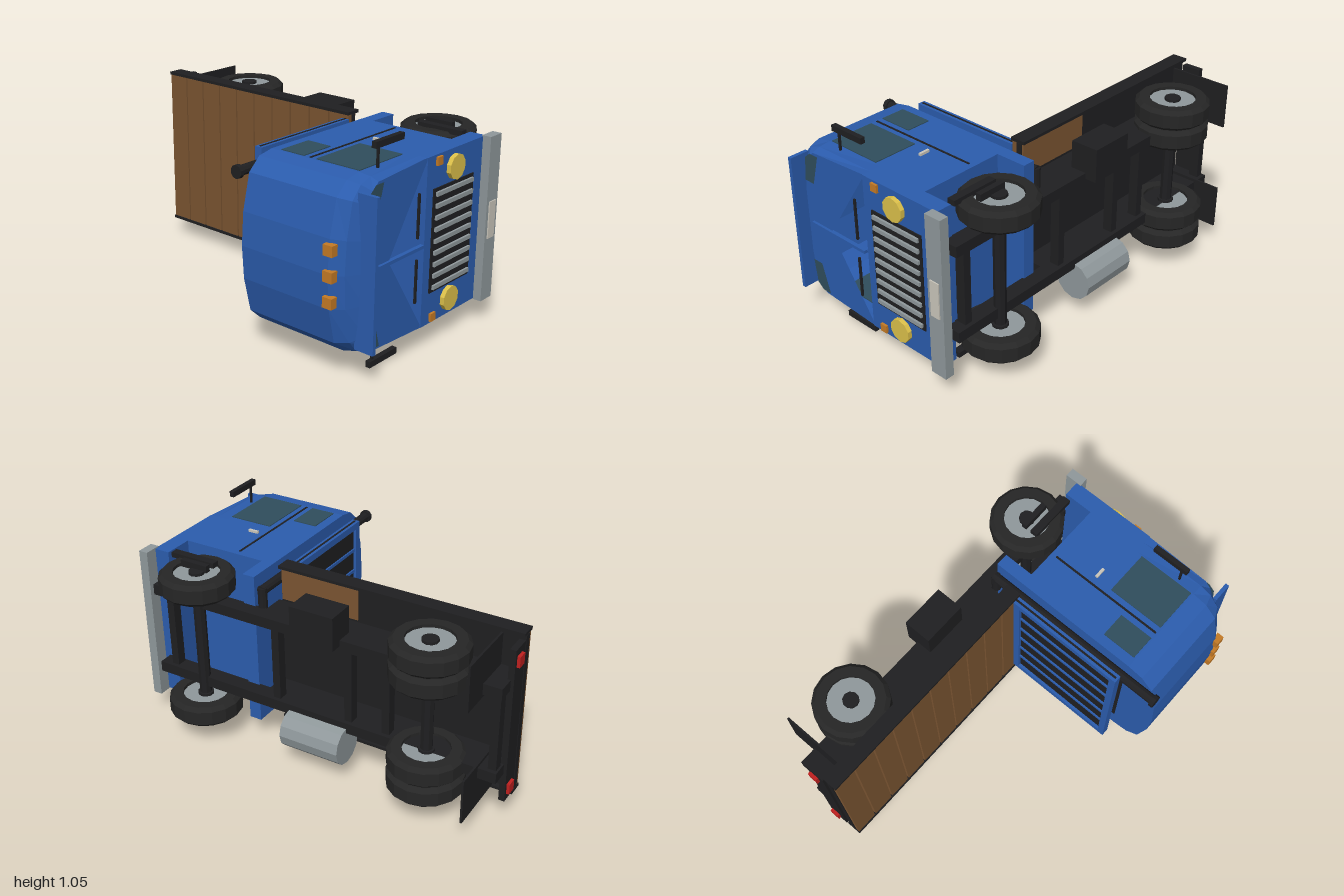
import * as THREE from 'three';

const mat = (color) => new THREE.MeshStandardMaterial({ color, flatShading: true, side: THREE.DoubleSide });
const BLUE = mat(0x2b5cad), BLACK = mat(0x1f1f21), TYRE = mat(0x262626), WOOD = mat(0x7a5431), GREY = mat(0x8f989b),
  GLASS = mat(0x2f4d5c), AMBER = mat(0xc47a26), YELLOW = mat(0xdcc04a), RED = mat(0xc0201f), PLATE = mat(0xcac6bb);

export function createModel() {
  const model = new THREE.Group();
  model.name = 'truck';
  // Truck frame: x forward, y up, z across; the whole truck lies on its side
  const truck = new THREE.Group();
  truck.name = 'truckOnItsSide';
  truck.rotation.x = Math.PI / 2;
  truck.position.y = 0.525;
  model.add(truck);

  const add = (name, geo, m, x = 0, y = 0, z = 0) => {
    const mesh = new THREE.Mesh(geo, m);
    mesh.name = name;
    mesh.position.set(x, y, z);
    truck.add(mesh);
    return mesh;
  };
  // Box given by its extents along each axis
  const box = (name, m, x0, x1, y0, y1, z0, z1) =>
    add(name, new THREE.BoxGeometry(x1 - x0, y1 - y0, z1 - z0), m, (x0 + x1) / 2, (y0 + y1) / 2, (z0 + z1) / 2);
  const pair = (name, m, x0, x1, y0, y1, z0, z1) => {
    box(name, m, x0, x1, y0, y1, z0, z1);
    box(name, m, x0, x1, y0, y1, -z1, -z0);
  };
  const cyl = (name, m, axis, r, len, x, y, z, sides = 12) => {
    const g = new THREE.CylinderGeometry(r, r, len, sides);
    if (axis === 'x') g.rotateZ(Math.PI / 2);
    if (axis === 'z') g.rotateX(Math.PI / 2);
    return add(name, g, m, x, y, z);
  };

  // Chassis
  pair('frameRail', BLACK, -0.97, 0.9, -0.46, -0.38, 0.195, 0.25);
  pair('subframeRail', BLACK, -0.97, 0.28, -0.38, -0.275, 0.195, 0.25);
  for (const x of [-0.94, -0.4, -0.2, 0.2, 0.82])
    box('crossMember', BLACK, x - 0.02, x + 0.02, -0.44, -0.39, -0.2, 0.2);
  for (const x of [-0.62, 0.63]) cyl('axle', BLACK, 'z', 0.03, 0.7, x, -0.45, 0, 8);
  box('tailBeam', BLACK, -0.985, -0.955, -0.375, -0.275, -0.4, 0.4);
  pair('tailLamp', RED, -1, -0.98, -0.36, -0.31, 0.31, 0.365);
  pair('mudflap', BLACK, -0.88, -0.87, -0.6, -0.275, 0.18, 0.41);
  cyl('fuelTank', GREY, 'x', 0.1, 0.32, -0.04, -0.45, 0.325, 12);
  box('batteryBox', BLACK, -0.17, 0.06, -0.52, -0.375, -0.39, -0.22);

  // Wheels
  const wheel = (x, side, z0, z1) => {
    const w = z1 - z0, zc = side * (z0 + z1) / 2;
    const profile = [[0.115, -w / 2], [0.165, -w / 2], [0.185, -w * 0.32], [0.185, w * 0.32], [0.165, w / 2],
      [0.115, w / 2], [0.115, -w / 2]].map(([r, y]) => new THREE.Vector2(r, y));
    const tyre = new THREE.LatheGeometry(profile, 16);
    tyre.rotateX(Math.PI / 2);
    add('tyre', tyre, TYRE, x, -0.45, zc);
    cyl('rim', GREY, 'z', 0.118, w * 0.7, x, -0.45, zc, 16);
    cyl('hub', BLACK, 'z', 0.04, w * 0.95, x, -0.45, zc, 10);
  };
  for (const s of [-1, 1]) {
    wheel(0.63, s, 0.285, 0.395);
    wheel(-0.62, s, 0.18, 0.285);
    wheel(-0.62, s, 0.29, 0.395);
  }

  // Flatbed
  box('deckBase', BLACK, -0.98, 0.275, -0.255, -0.22, -0.41, 0.41);
  pair('deckUnderside', WOOD, -0.15, 0.27, -0.262, -0.254, 0.25, 0.41);
  const planks = 10, pitch = 1.26 / planks;
  for (let i = 0; i < planks; i++) {
    const x = -0.98 + i * pitch;
    box('plank', WOOD, x + 0.004, x + pitch - 0.004, -0.225, -0.2, -0.415, 0.415);
  }
  pair('deckSideRail', BLACK, -0.98, 0.28, -0.275, -0.195, 0.415, 0.43);

  // Headboard
  pair('headboardPost', BLUE, 0.24, 0.28, -0.2, 0.42, 0.36, 0.395);
  pair('headboardGroove', BLACK, 0.255, 0.265, -0.2, 0.41, 0.36, 0.397);
  for (const y of [-0.2, 0.385]) box('headboardRail', BLUE, 0.24, 0.28, y, y + 0.035, -0.36, 0.36);
  box('headboardPanel', BLACK, 0.256, 0.264, -0.17, 0.39, -0.36, 0.36);
  for (let i = -2; i <= 2; i++) box('headboardBar', BLUE, 0.248, 0.272, -0.17, 0.39, i * 0.12 - 0.008, i * 0.12 + 0.008);

  // Exhaust stack
  cyl('exhaustStack', BLACK, 'y', 0.024, 0.98, 0.308, 0.11, -0.335, 10);
  cyl('exhaustCap', BLACK, 'y', 0.032, 0.022, 0.308, 0.604, -0.335, 10);
  cyl('exhaustElbow', BLACK, 'z', 0.024, 0.12, 0.308, -0.37, -0.29, 10);

  // Lower cab, its side profile open over the front wheels
  const side = new THREE.Shape([[0.34, -0.39], [0.405, -0.39], [0.405, -0.23], [0.85, -0.23], [0.85, -0.385],
    [0.935, -0.385], [0.935, 0.075], [0.34, 0.075]].map((p) => new THREE.Vector2(...p)));
  const lower = new THREE.ExtrudeGeometry(side, { depth: 0.81, bevelEnabled: false });
  add('lowerCab', lower, BLUE, 0, 0, -0.405);

  // Upper cab shell, lofted from arched sections
  const half = [[0.405, 0.075], [0.405, 0.42], [0.39, 0.5], [0.33, 0.565], [0.16, 0.605]];
  const arch = [...half, [0, 0.616], ...half.slice().reverse().map(([z, y]) => [-z, y])];
  const section = (sy, sz) => arch.map(([z, y]) => y > 0.42 ? [z * sz, 0.42 + (y - 0.42) * sy] : [z * (y > 0.4 ? (1 + sz) / 2 : 1), y]);
  const stations = [[0.34, 1, 1], [0.83, 1, 1], [0.89, 0.8, 0.97], [0.932, 0.42, 0.9]];
  const pos = [], index = [], n = arch.length;
  stations.forEach(([x, sy, sz], i) => {
    section(sy, sz).forEach(([z, y]) => pos.push(x, y, z));
    for (let j = 0; i && j < n - 1; j++) {
      const a = (i - 1) * n + j, b = i * n + j;
      index.push(a, a + 1, b, b, a + 1, b + 1);
    }
  });
  const shell = new THREE.BufferGeometry();
  shell.setAttribute('position', new THREE.Float32BufferAttribute(pos, 3));
  shell.setIndex(index);
  shell.computeVertexNormals();
  add('cabShell', shell, BLUE);
  const capShape = (pts) => new THREE.Shape(pts.map((p) => new THREE.Vector2(...p)));
  const back = new THREE.ShapeGeometry(capShape(arch));
  add('cabBack', back.rotateY(Math.PI / 2), BLUE, 0.34);
  // Front with a triangular opening cut up from its lower edge
  const frontPts = [...section(0.42, 0.9), [-0.39, 0.075], [0, 0.333], [0.39, 0.075]];
  const front = new THREE.ShapeGeometry(capShape(frontPts));
  add('cabFront', front.rotateY(Math.PI / 2), BLUE, 0.932);
  box('cabInnerBack', BLACK, 0.35, 0.36, 0.08, 0.5, -0.39, 0.39);
  box('cabInnerBar', BLUE, 0.362, 0.375, 0.212, 0.228, -0.39, 0.39);
  box('rearWindow', BLACK, 0.335, 0.345, 0.12, 0.41, -0.28, 0.28);
  box('windscreenPillar', BLUE, 0.925, 0.945, 0.09, 0.46, -0.008, 0.008);
  pair('wiper', BLACK, 0.935, 0.945, 0.13, 0.14, 0.05, 0.26);
  for (const s of [-1, 1]) {
    const corner = new THREE.ShapeGeometry(capShape([[s * 0.22, 0.49], [s * 0.22, 0.43], [s * 0.375, 0.385], [s * 0.375, 0.44], [s * 0.345, 0.475]]));
    add('cornerGlass', corner.rotateY(Math.PI / 2), GLASS, 0.935);
  }
  box('sunVisor', BLUE, 0.9, 1, 0.495, 0.515, -0.355, 0.355);

  // Doors, side windows, steps and mirrors
  pair('doorWindow', GLASS, 0.59, 0.825, 0.11, 0.41, 0.4, 0.409);
  pair('rearSideWindow', GLASS, 0.39, 0.52, 0.23, 0.41, 0.4, 0.409);
  pair('doorGap', BLACK, 0.55, 0.56, -0.2, 0.41, 0.4, 0.408);
  pair('doorHandle', PLATE, 0.595, 0.65, 0.008, 0.022, 0.4, 0.417);
  pair('upperStep', BLACK, 0.58, 0.83, -0.385, -0.345, 0.385, 0.412);
  pair('lowerStep', BLACK, 0.58, 0.73, -0.44, -0.412, 0.385, 0.42);
  pair('mirrorArm', BLACK, 0.845, 0.855, 0.315, 0.325, 0.4, 0.5);
  pair('mirror', BLACK, 0.84, 0.865, 0.155, 0.352, 0.495, 0.525);

  // Nose
  box('grille', BLACK, 0.93, 0.941, -0.29, 0.025, -0.25, 0.25);
  for (let i = -4; i <= 4; i++) box('grilleSlat', GREY, 0.935, 0.952, -0.277, 0.01, i * 0.056 - 0.01, i * 0.056 + 0.01);
  for (const s of [-1, 1]) cyl('headlamp', YELLOW, 'x', 0.06, 0.03, 0.942, -0.132, s * 0.32, 10);
  pair('indicator', AMBER, 0.93, 0.947, -0.027, 0.012, 0.355, 0.395);
  box('bumper', GREY, 0.93, 0.978, -0.45, -0.36, -0.41, 0.41);
  box('plate', PLATE, 0.975, 0.984, -0.43, -0.378, -0.092, 0.092);

  // Roof lamps
  for (const z of [-0.118, 0, 0.118]) box('roofLamp', AMBER, 0.815, 0.865, 0.595, 0.632, z - 0.025, z + 0.025);
  return model;
}
